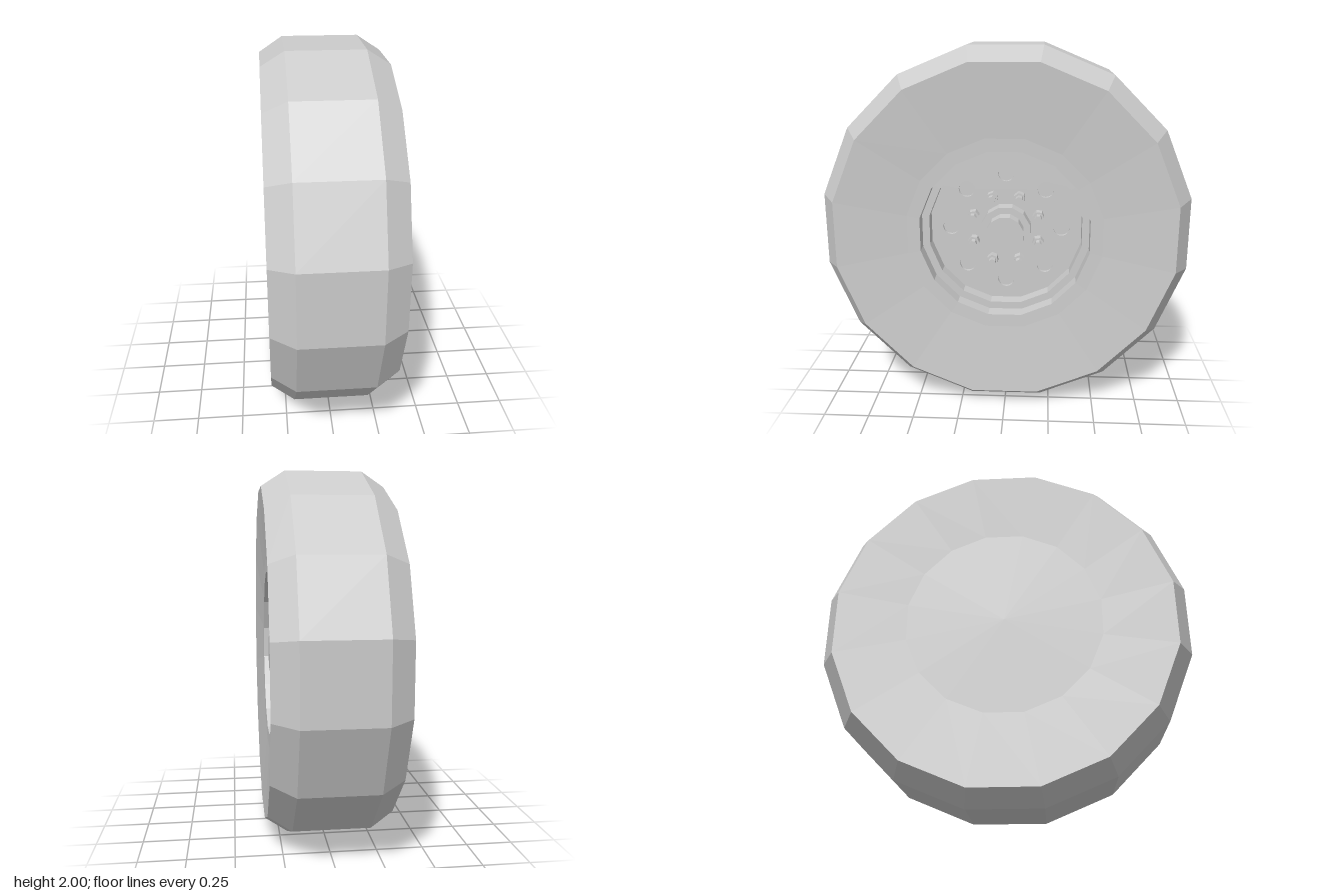
import * as THREE from 'three';

const SIDES = 16;
const FLAT = 1 / Math.cos(Math.PI / SIDES); // flat-to-flat radius -> corner radius

// The wheel is built with its axle along +z, then turned so the hub faces +x.
export function createModel() {
  const model = new THREE.Group();
  model.name = 'wheel';
  const axle = new THREE.Group();
  axle.name = 'axle';
  axle.rotation.y = Math.PI / 2;
  model.add(axle);
  const material = new THREE.MeshStandardMaterial({ color: 0xcccccc, flatShading: true });

  const add = (name, geometry, parent = axle) => {
    const mesh = new THREE.Mesh(geometry, material);
    mesh.name = name;
    parent.add(mesh);
    return mesh;
  };
  // Profile of [radius to flat, position along axle], turned round the axle
  const turned = (profile) => new THREE.LatheGeometry(
    profile.map(([r, z]) => new THREE.Vector2(r * FLAT, z)), SIDES, Math.PI / SIDES
  ).rotateX(Math.PI / 2);
  // Prism along the axle, from z0 to z1
  const prism = (r, z0, z1, sides, turn = 0) =>
    new THREE.CylinderGeometry(r, r, z1 - z0, sides, 1, false, turn)
      .rotateX(Math.PI / 2).translate(0, 0, (z0 + z1) / 2);

  // Tyre: bevelled shoulders and slightly dished sidewalls
  add('tyre', turned([
    [0.53, -0.297], [0.92, -0.33], [1, -0.205], [1, 0.205], [0.92, 0.33], [0.53, 0.297],
  ]));

  // Rim: closed at the back, stepped recess at the front
  add('rim', turned([[0, -0.297], [0.53, -0.297]]));
  add('rimRecess', turned([
    [0.53, 0.297], [0.46, 0.295], [0.46, 0.21], [0.42, 0.21], [0.42, 0.11], [0, 0.11],
  ]));

  // Wheel disc with a ring of shallow round holes
  const disc = new THREE.Shape();
  for (let i = 0; i < SIDES; i++) {
    const a = (i + 0.5) * 2 * Math.PI / SIDES;
    disc[i ? 'lineTo' : 'moveTo'](0.42 * FLAT * Math.cos(a), 0.42 * FLAT * Math.sin(a));
  }
  disc.closePath();
  for (let i = 0; i < 8; i++) {
    const a = i * Math.PI / 4;
    const hole = new THREE.Path();
    hole.absarc(0.31 * Math.cos(a), 0.31 * Math.sin(a), 0.045, 0, 2 * Math.PI, true);
    disc.holes.push(hole);
  }
  add('wheelDisc', new THREE.ExtrudeGeometry(disc, { depth: 0.02, bevelEnabled: false, curveSegments: 12 })
    .translate(0, 0, 0.11));

  // Hub flange and cap
  add('hubFlange', prism(0.14, 0.12, 0.21, 12, Math.PI / 12));
  add('hubCap', prism(0.104, 0.2, 0.285, 12, Math.PI / 12));

  // Wheel nuts on their studs
  for (let i = 0; i < 8; i++) {
    const a = (i + 0.5) * Math.PI / 4;
    const bolt = new THREE.Group();
    bolt.name = 'wheelBolt';
    bolt.position.set(0.195 * Math.cos(a), 0.195 * Math.sin(a), 0);
    bolt.rotation.z = a;
    add('nut', prism(0.032, 0.125, 0.18, 6), bolt);
    add('stud', prism(0.02, 0.17, 0.22, 6), bolt);
    axle.add(bolt);
  }
  // Stand the wheel on the ground
  model.position.y = 1;
  return model;
}
